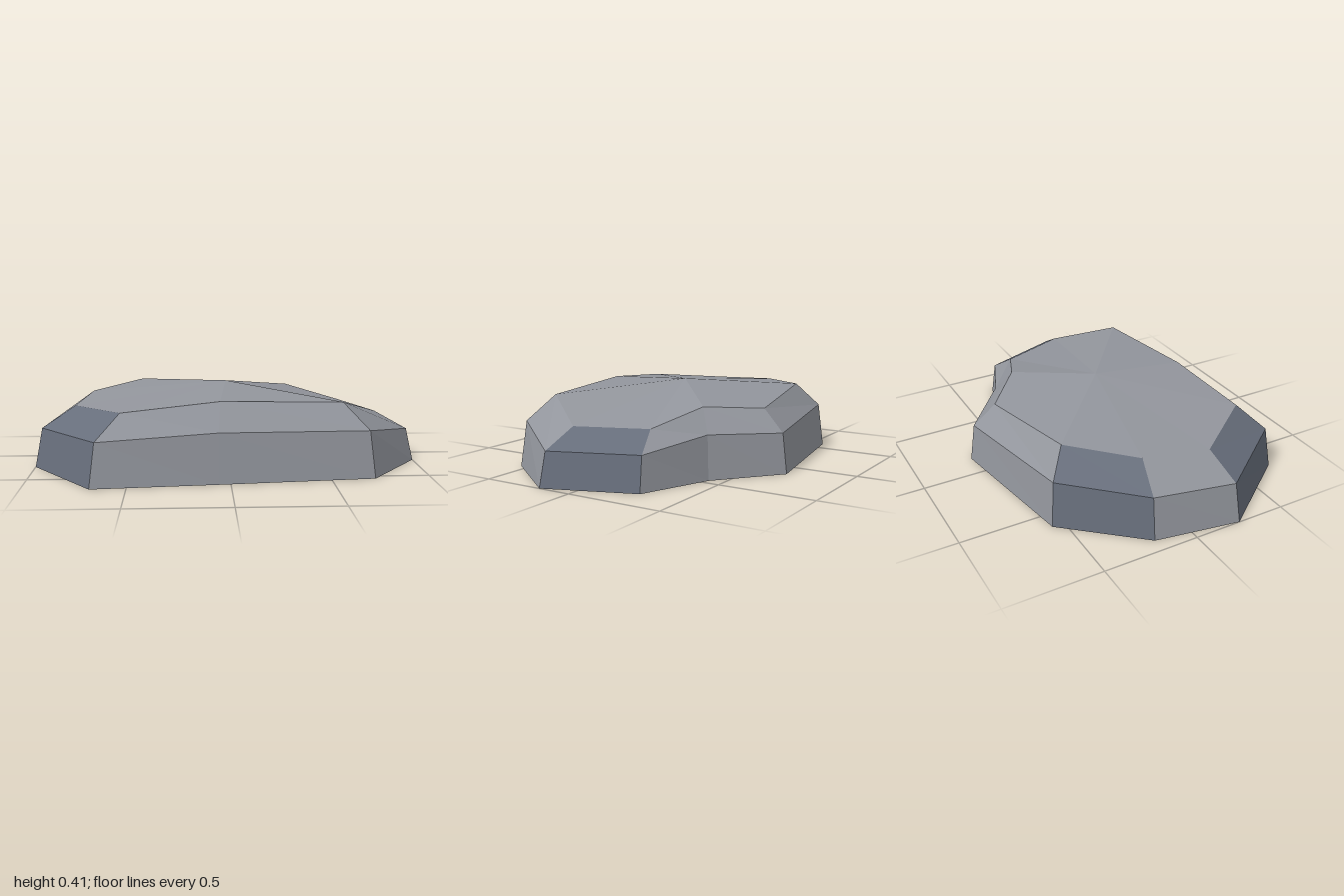
import * as THREE from 'three';

// Footprint corners [x, z] and the height of the top rim above each one
const CORNERS = [
  [1.0, 0.175, 0.265], [0.72, 0.549, 0.365], [-0.06, 0.63, 0.383], [-0.675, 0.687, 0.338],
  [-1.0, 0.247, 0.315], [-0.925, -0.188, 0.337], [-0.6, -0.564, 0.36],
  [0.145, -0.687, 0.315], [0.462, -0.423, 0.34], [0.83, -0.278, 0.266],
];

// Rings from the ground up: [inward scale, share of rim height]
const RINGS = [[1, 0], [0.96, 0.65], [0.79, 1]];
const PEAK = 0.413;

// Sides (counted from the first corner) that are darker, bluish stone
const SLATE_SIDES = [3, 5, 9];

function ringPoint(ring, corner) {
  const [scale, lift] = RINGS[ring];
  const [x, z, height] = CORNERS[corner % CORNERS.length];
  return [x * scale, height * lift, z * scale];
}

function facetMesh(name, points, color) {
  const geometry = new THREE.BufferGeometry();
  geometry.setAttribute('position', new THREE.Float32BufferAttribute(points.flat(), 3));
  geometry.computeVertexNormals();
  const mesh = new THREE.Mesh(geometry, new THREE.MeshStandardMaterial({ color, flatShading: true }));
  mesh.name = name;
  return mesh;
}

export function createModel() {
  const stone = [];
  const slate = [];
  const top = RINGS.length - 1;

  CORNERS.forEach((_, i) => {
    // Sloping side bands
    const side = SLATE_SIDES.includes(i) ? slate : stone;
    for (let r = 0; r < top; r++) {
      const a = ringPoint(r, i), b = ringPoint(r, i + 1);
      const c = ringPoint(r + 1, i + 1), d = ringPoint(r + 1, i);
      side.push(a, d, c, a, c, b);
    }
    // Flat underside and low faceted crown
    stone.push([0, 0, 0], ringPoint(0, i), ringPoint(0, i + 1));
    stone.push([0, PEAK, 0], ringPoint(top, i + 1), ringPoint(top, i));
  });

  const group = new THREE.Group();
  group.name = 'flatRock';
  group.add(
    facetMesh('rockBody', stone, 0x92959c),
    facetMesh('slateFacets', slate, 0x676e7b),
  );
  return group;
}
